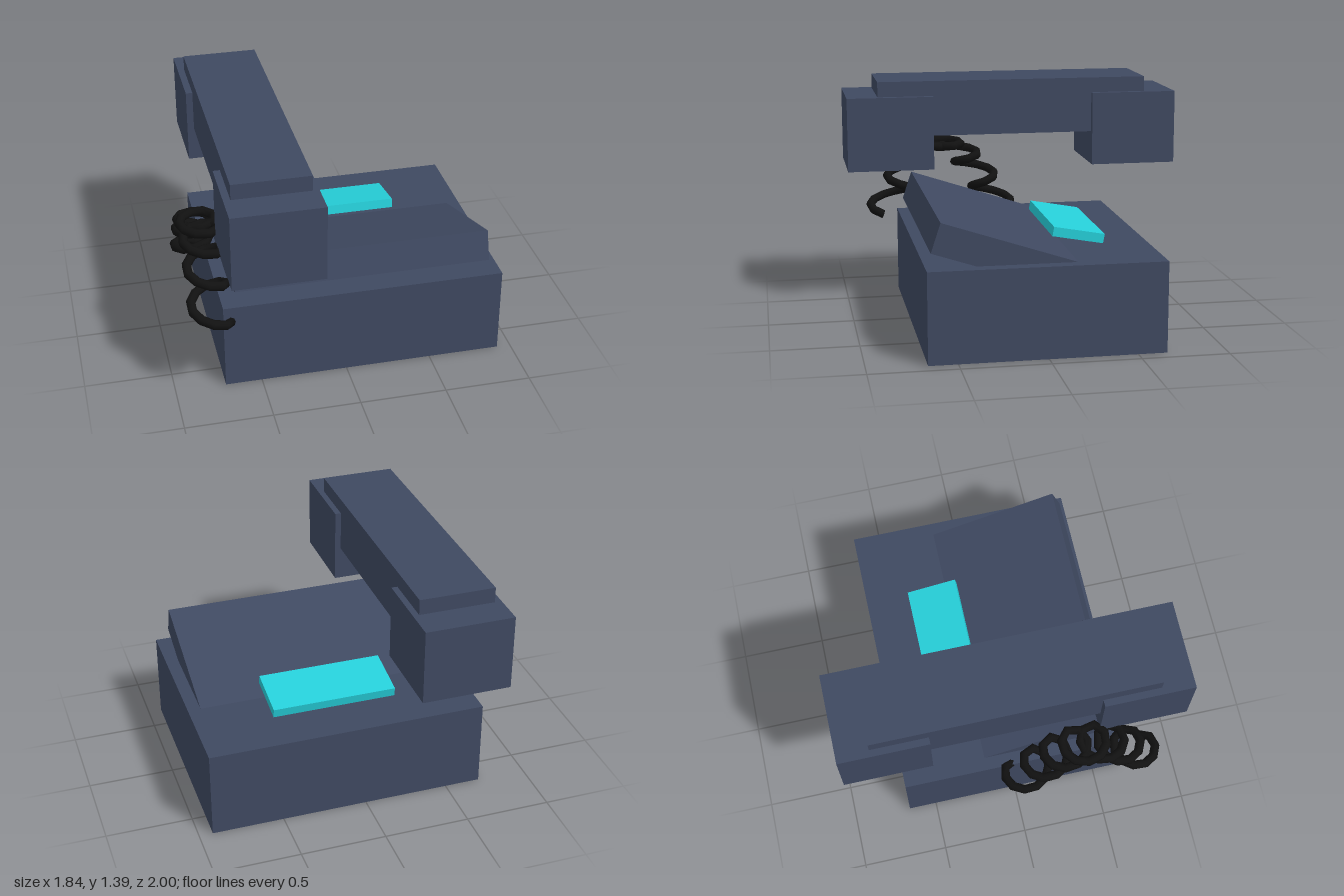
import * as THREE from 'three';

const bodyMat = new THREE.MeshStandardMaterial({ color: 0x3f4961 });
bodyMat.name = 'slate plastic';
const panelMat = new THREE.MeshStandardMaterial({ color: 0x26d0da });
panelMat.name = 'cyan display';
const cordMat = new THREE.MeshStandardMaterial({ color: 0x111111, side: THREE.DoubleSide });
cordMat.name = 'black cord';

function box(name, mat, size, pos, tilt = 0) {
  const mesh = new THREE.Mesh(new THREE.BoxGeometry(...size), mat);
  mesh.name = name;
  mesh.position.set(...pos);
  mesh.rotation.x = tilt;
  return mesh;
}

// Coil that climbs from the base, arches over and drops back
class CoilCurve extends THREE.Curve {
  getPoint(t, target = new THREE.Vector3()) {
    const a = t * Math.PI * 14;
    return target.set(
      -0.787 + 0.105 * Math.cos(a),
      0.49 + 0.435 * Math.sin(Math.PI * t),
      0.755 - 0.76 * t + 0.1 * Math.sin(a)
    );
  }
}

export function createModel() {
  const model = new THREE.Group();
  model.name = 'deskTelephone';

  // Base block
  model.add(box('base', bodyMat, [1.63, 0.52, 1.33], [0.105, 0.26, 0]));

  // Sloping keypad slab, placed from its top front edge; its back end sinks into the base
  const tilt = 0.318, thick = 0.175, depth = 1.0;
  const c = Math.cos(tilt), s = Math.sin(tilt);
  model.add(box('keypadSlab', bodyMat, [1.48, thick, depth],
    [0.105, 0.768 - s * depth / 2 - c * thick / 2, 0.58 - c * depth / 2 + s * thick / 2], -tilt));

  // Tilted display panel
  model.add(box('display', panelMat, [0.735, 0.055, 0.3], [0.105, 0.58, -0.257], -0.18));

  // Handset: grip with an earpiece and a mouthpiece
  const handset = new THREE.Group();
  handset.name = 'handset';
  handset.add(box('grip', bodyMat, [0.44, 0.33, 1.63], [-0.45, 1.225, 0]));
  for (const [name, side] of [['mouthpiece', 1], ['earpiece', -1]]) {
    handset.add(box(name, bodyMat, [0.515, 0.44, 0.515], [-0.452, 1.08, side * 0.7425]));
  }
  model.add(handset);

  // Coiled cord
  const cord = new THREE.Mesh(new THREE.TubeGeometry(new CoilCurve(), 62, 0.027, 8), cordMat);
  cord.name = 'coiledCord';
  model.add(cord);

  return model;
}
